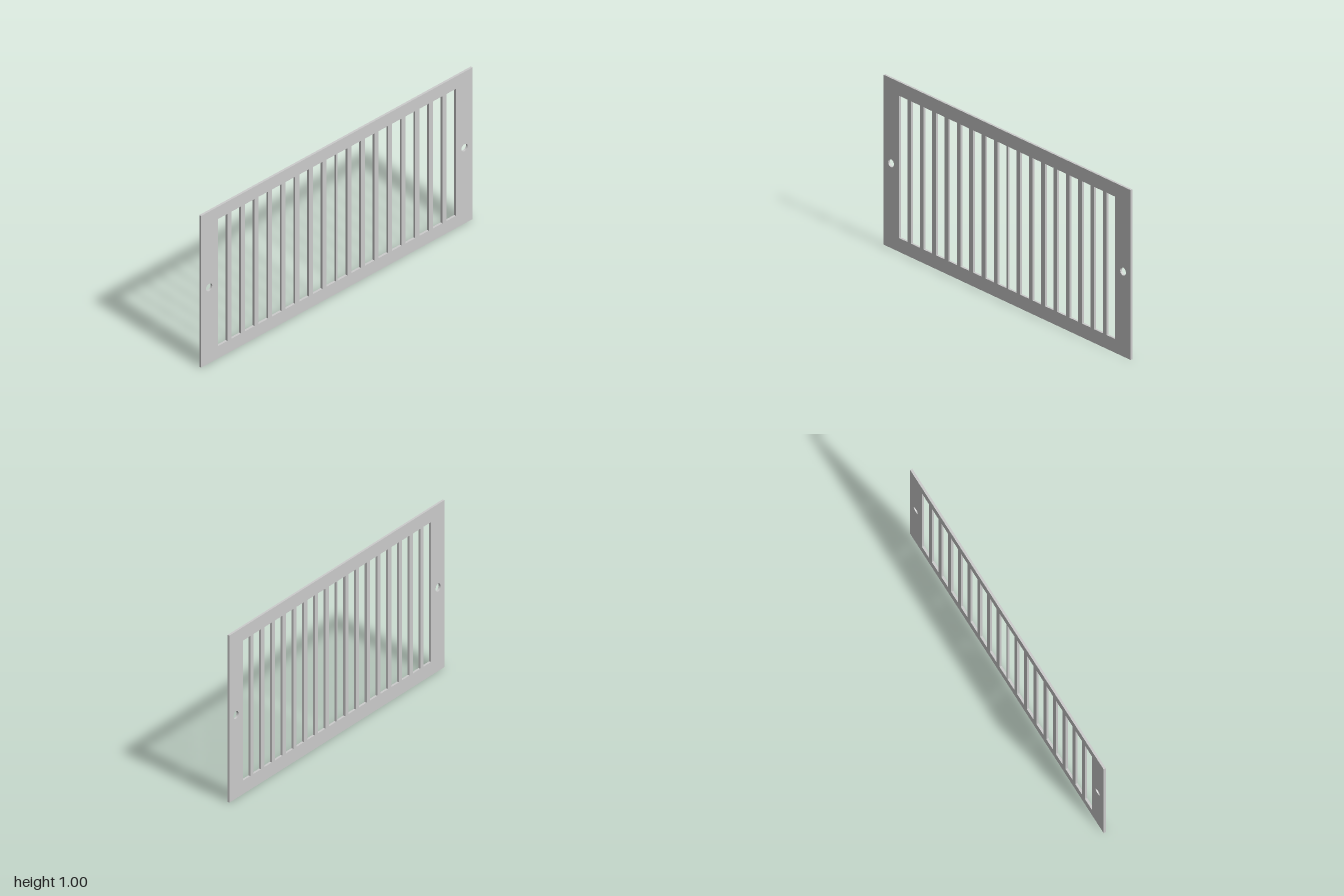
import * as THREE from 'three';

const WIDTH = 2, HEIGHT = 1, DEPTH = 0.0135;

// Closed rectangular outline
function rectangle(Type, x0, y0, x1, y1) {
  return new Type([
    new THREE.Vector2(x0, y0), new THREE.Vector2(x1, y0),
    new THREE.Vector2(x1, y1), new THREE.Vector2(x0, y1),
  ]);
}

export function createModel() {
  const group = new THREE.Group();
  group.name = 'ventGrille';

  // Flat plate outline
  const outline = rectangle(THREE.Shape, -WIDTH / 2, 0, WIDTH / 2, HEIGHT);

  for (const side of [-1, 1]) {
    // Nine vertical slots on each side of the thin centre bar
    for (let i = 0; i < 9; i++) {
      const centre = side * (0.0415 + i * 0.1);
      outline.holes.push(rectangle(THREE.Path, centre - 0.035, 0.081, centre + 0.035, 0.919));
    }
    // Round screw hole near the end
    outline.holes.push(new THREE.Path().absarc(side * 0.94, 0.5, 0.023, 0, Math.PI * 2, true));
  }

  const geometry = new THREE.ExtrudeGeometry(outline, {
    depth: DEPTH, bevelEnabled: false, curveSegments: 32,
  });
  geometry.translate(0, 0, -DEPTH / 2);

  const plate = new THREE.Mesh(geometry, new THREE.MeshStandardMaterial({ color: 0xcccccc }));
  plate.name = 'slottedPlate';
  group.add(plate);
  return group;
}
